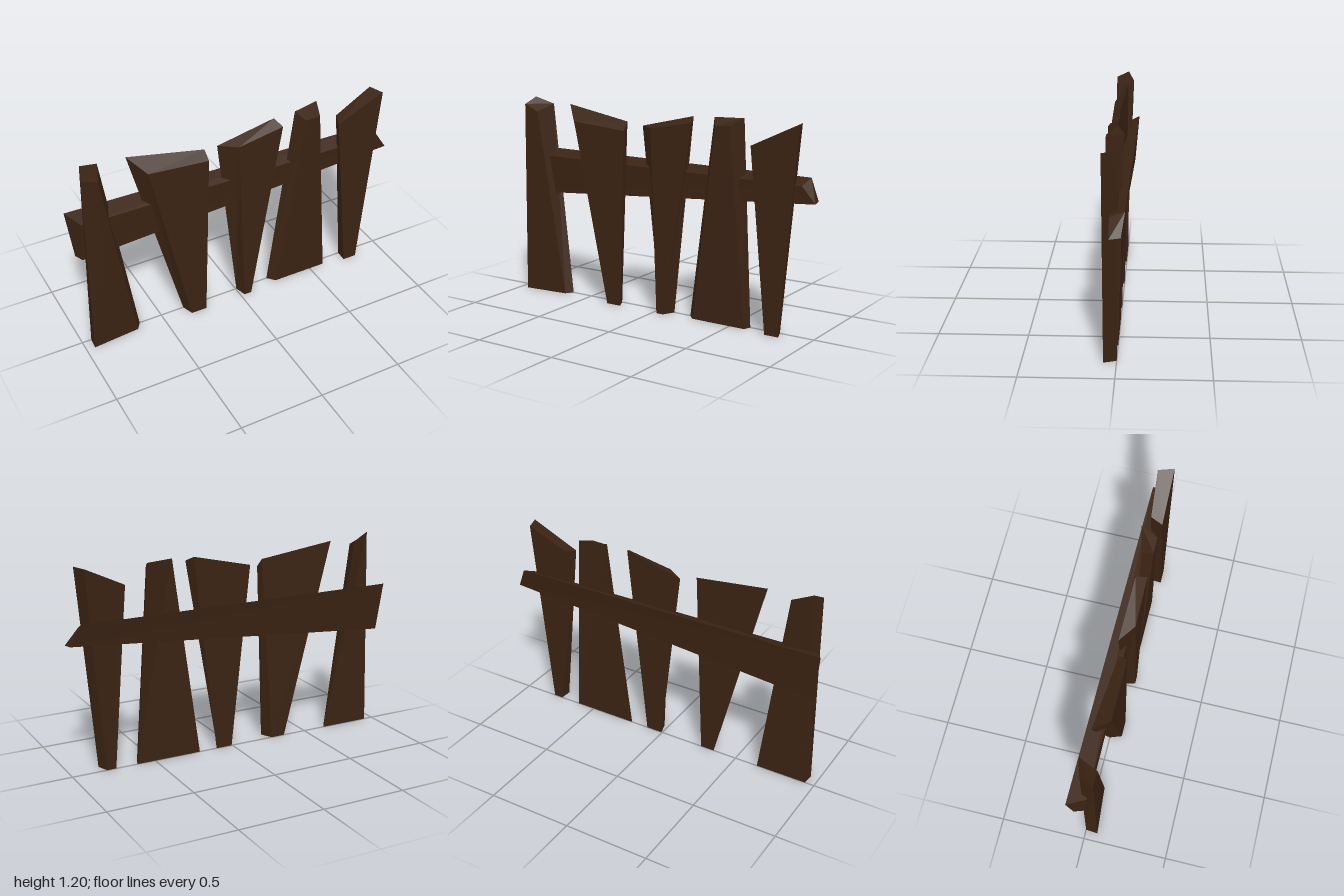
import * as THREE from 'three';

const wood = new THREE.MeshStandardMaterial({ color: 0x3b2313, flatShading: true });

// Six-sided block of wood. Front and back list their corners as
// bottom left, bottom right, top right, top left.
function block(name, front, back) {
  const corners = [...front, ...back];
  const quads = [
    [0, 1, 2, 3], [5, 4, 7, 6], // front, back
    [1, 5, 6, 2], [4, 0, 3, 7], // sides
    [3, 2, 6, 7], [4, 5, 1, 0], // top, bottom
  ];
  const pos = [];
  for (const [a, b, c, d] of quads) {
    for (const i of [a, b, c, a, c, d]) pos.push(...corners[i]);
  }
  const geo = new THREE.BufferGeometry();
  geo.setAttribute('position', new THREE.Float32BufferAttribute(pos, 3));
  geo.computeVertexNormals();
  const mesh = new THREE.Mesh(geo, wood);
  mesh.name = name;
  return mesh;
}

export function createModel() {
  const fence = new THREE.Group();
  fence.name = 'fence';

  // Upright planks, each tapered and crooked in its own way
  const planks = [
    { front: [[-0.95, 0, 0.07], [-0.67, 0, 0.045], [-0.84, 1.12, 0.07], [-0.935, 1.16, 0.07]],
      back: [[-0.945, 0, 0], [-0.64, 0, 0], [-0.8, 1.16, -0.04], [-0.91, 1.2, -0.005]] },
    { front: [[-0.33, 0, 0.07], [-0.235, 0, 0.07], [-0.2, 1.05, 0.07], [-0.56, 1.08, 0.07]],
      back: [[-0.355, 0, 0], [-0.27, 0, 0], [-0.205, 1.1, 0.025], [-0.65, 1.17, -0.01]] },
    { front: [[0.025, 0, 0.07], [0.07, 0, 0.07], [0.26, 1.13, 0.07], [-0.015, 1.08, 0.07]],
      back: [[0.005, 0, 0], [0.105, 0, 0], [0.235, 1.16, 0.01], [-0.115, 1.08, 0]] },
    { front: [[0.255, 0, 0.045], [0.595, 0, 0.045], [0.5, 1.13, 0.07], [0.41, 1.125, 0.07]],
      back: [[0.215, 0, 0], [0.61, 0, 0], [0.535, 1.165, -0.03], [0.37, 1.165, 0.01]] },
    { front: [[0.735, 0, 0.07], [0.82, 0, 0.07], [0.92, 1.165, 0.07], [0.63, 1.035, 0.07]],
      back: [[0.74, 0, 0], [0.795, 0, 0], [0.89, 1.165, -0.02], [0.655, 1.05, 0]] },
  ];
  planks.forEach((p, i) => fence.add(block(`plank${i + 1}`, p.front, p.back)));

  // Cross rail running behind the planks, narrowing toward +x
  fence.add(block('crossRail',
    [[-0.95, 0.61, 0.02], [1, 0.75, 0.03], [0.92, 0.84, 0.03], [-0.94, 0.85, 0.03]],
    [[-0.97, 0.6, -0.045], [0.99, 0.755, -0.03], [0.935, 0.875, -0.05], [-1, 0.885, -0.07]]));

  return fence;
}
